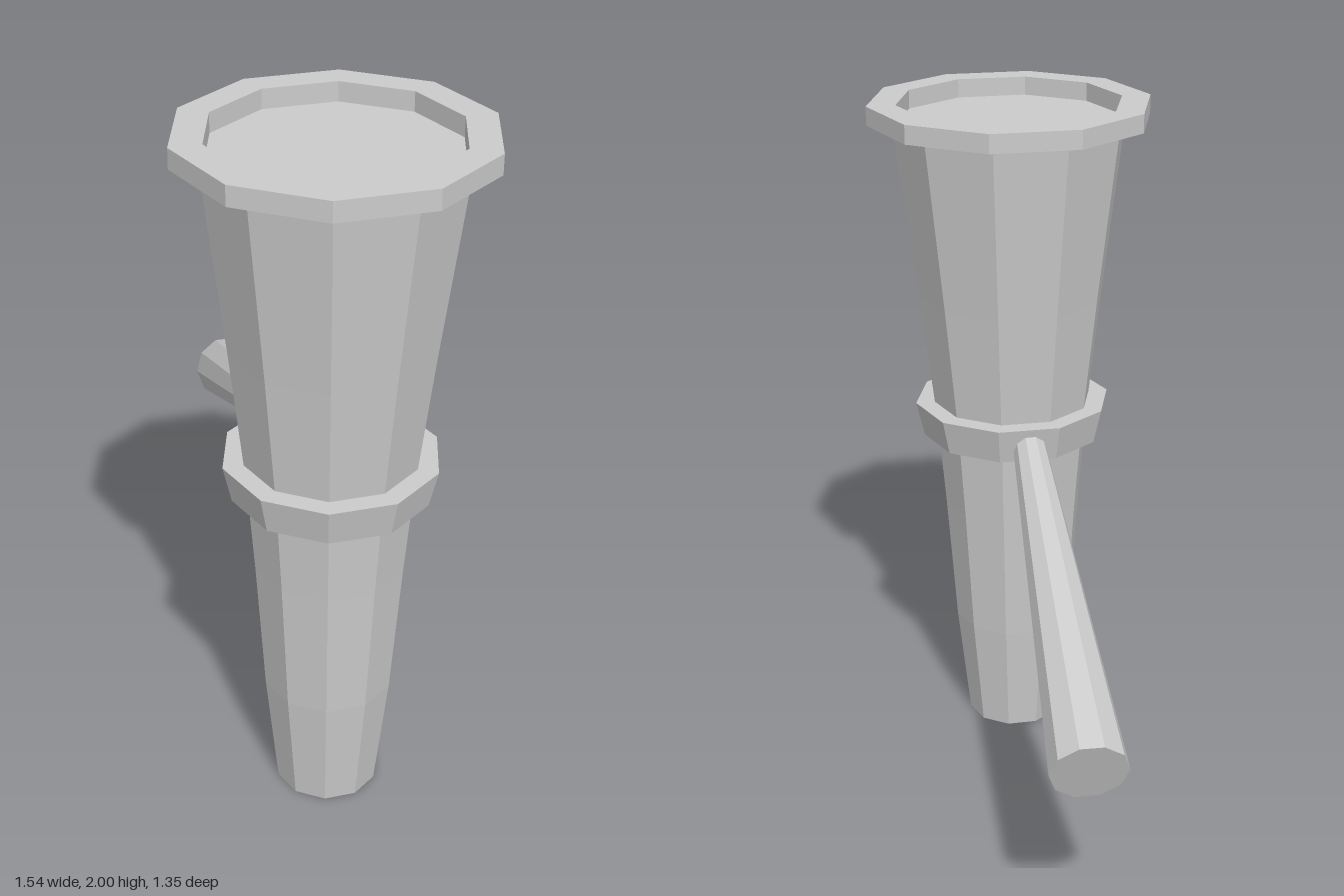
import * as THREE from 'three';

const SIDES = 10;
const CX = 0.372, CZ = 0.252; // axis of the upright body

const material = new THREE.MeshStandardMaterial({ color: 0xcccccc, flatShading: true });

// Ten-sided turned part from [radius, height] pairs, listed up the outside
function turned(name, profile) {
  const points = profile.map(([r, y]) => new THREE.Vector2(r, y));
  const mesh = new THREE.Mesh(new THREE.LatheGeometry(points, SIDES), material);
  mesh.name = name;
  mesh.position.set(CX, 0, CZ);
  return mesh;
}

// Tapered ten-sided rod between two points, with flat faces on top
function rod(name, start, end, r0, r1) {
  const length = start.distanceTo(end);
  const geometry = new THREE.CylinderGeometry(r1, r0, length, SIDES, 1, false, Math.PI / SIDES);
  geometry.rotateX(Math.PI / 2);
  const mesh = new THREE.Mesh(geometry, material);
  mesh.name = name;
  mesh.position.copy(start).lerp(end, 0.5);
  mesh.lookAt(end);
  return mesh;
}

export function createModel() {
  const model = new THREE.Group();
  model.name = 'flaredTube';

  // Flared body, closed at the base
  model.add(turned('body', [
    [0, 0], [0.146, 0], [0.183, 0.35], [0.211, 0.75],
    [0.23, 0.98], [0.241, 1.09], [0.279, 1.42], [0.345, 1.945],
  ]));

  // Flaring collar round the middle
  model.add(turned('collar', [[0.22, 0.98], [0.274, 0.98], [0.298, 1.085], [0.23, 1.085]]));

  // Raised rim with a shallow recess and floor
  model.add(turned('rim', [
    [0.33, 1.945], [0.4175, 1.945], [0.4175, 2], [0.332, 2], [0.332, 1.945], [0, 1.945],
  ]));

  // Handle sloping down and back from the collar
  model.add(rod('handle',
    new THREE.Vector3(0.2, 1.037, 0.138), new THREE.Vector3(-0.705, 0.595, -0.595), 0.047, 0.105));

  return model;
}
